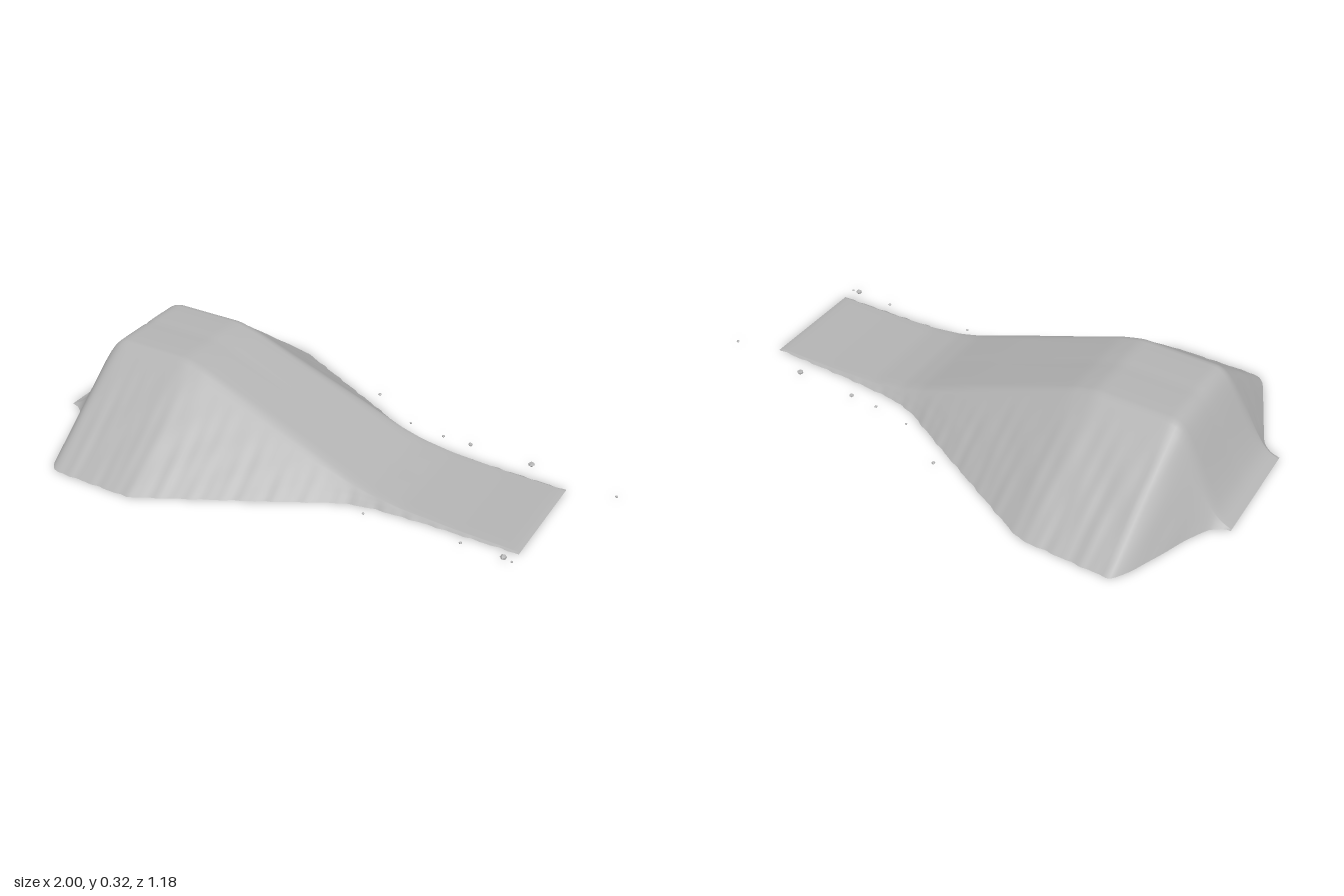
import * as THREE from 'three';

// Height of the crest along x
const HEIGHT = [[-1, 0], [-0.97, 0.012], [-0.94, 0.04], [-0.9, 0.105], [-0.82, 0.258], [-0.79, 0.306],
  [-0.76, 0.325], [-0.48, 0.325], [-0.4, 0.304], [0, 0.145], [0.2, 0.062], [0.28, 0.038], [0.4, 0.019],
  [0.6, 0.008], [0.82, 0.004], [0.83, 0]];
// Half width of the footprint along x
const WIDTH = [[-1, 0.205], [-0.97, 0.212], [-0.94, 0.23], [-0.91, 0.285], [-0.8, 0.55], [-0.77, 0.59],
  [-0.45, 0.588], [-0.4, 0.565], [0, 0.358], [0.2, 0.25], [0.3, 0.225], [0.5, 0.212], [0.83, 0.205]];
// Rounded top of a section: [z, share of the crest height], with a faint groove in the middle
const TOP = [[0, 0.99], [0.02, 1], [0.085, 1], [0.15, 0.998], [0.165, 0.99], [0.18, 0.968], [0.197, 0.925]];
const FLANK = 12;
const STEPS = 150;

function lookup(table, x) {
  for (let i = 1; i < table.length; i++) {
    const [x0, a] = table[i - 1], [x1, b] = table[i];
    if (x <= x1) return a + (b - a) * Math.max(0, (x - x0) / (x1 - x0));
  }
  return table[table.length - 1][1];
}

// Averaging neighbours softens the corners of a table
const smooth = (table, x) =>
  (lookup(table, x - 0.018) + 2 * lookup(table, x) + lookup(table, x + 0.018)) / 4;

const stationX = (i) => -1 + 1.83 * i / STEPS;

function footprint(x, side) {
  const w = smooth(WIDTH, x);
  const wobble = Math.sin(x * 71 + side) + 0.7 * Math.sin(x * 127 + side * 2);
  return w + 0.0018 * wobble;
}

// A point of the section at x; k counts from the middle out to the foot
function sectionPoint(x, k, side) {
  const h = x <= -1 || x >= 0.83 ? 0 : smooth(HEIGHT, x);
  if (k < TOP.length) return [TOP[k][0], h * TOP[k][1]];
  const [z0, share] = TOP[TOP.length - 1];
  const t = (k - TOP.length + 1) / FLANK;
  const bump = Math.sin(x * 63 + t * 5 + side) * Math.sin(x * 29 - t * 9) * Math.sin(Math.PI * t);
  const y = h * share * (1 - t) + 0.007 * h * bump;
  return [z0 + (footprint(x, side) - z0) * t, Math.max(0, y)];
}

// Upper surface: a grid whose vertices follow the sections
function buildSurface() {
  const half = TOP.length - 1 + FLANK;
  const geo = new THREE.PlaneGeometry(1, 1, STEPS, 2 * half).rotateX(-Math.PI / 2);
  const pos = geo.attributes.position;
  for (let j = 0; j <= 2 * half; j++) {
    const side = j < half ? -1 : 1;
    for (let i = 0; i <= STEPS; i++) {
      const x = stationX(i);
      const [z, y] = sectionPoint(x, Math.abs(j - half), side);
      pos.setXYZ(j * (STEPS + 1) + i, x, y, side * z);
    }
  }
  geo.computeVertexNormals();
  return geo;
}

// Flat underside with the same outline
function buildUnderside() {
  const geo = new THREE.PlaneGeometry(1, 1, STEPS, 1).rotateX(Math.PI / 2);
  const pos = geo.attributes.position;
  for (let j = 0; j < 2; j++) {
    const side = j === 0 ? 1 : -1;
    for (let i = 0; i <= STEPS; i++) {
      const x = stationX(i);
      pos.setXYZ(j * (STEPS + 1) + i, x, 0, side * footprint(x, side));
    }
  }
  return geo;
}

export function createModel() {
  const model = new THREE.Group();
  model.name = 'dirtRamp';
  const earth = new THREE.MeshStandardMaterial({ color: 0xb3b3b3 });
  earth.name = 'grey earth';

  const add = (name, geo) => {
    const mesh = new THREE.Mesh(geo, earth);
    mesh.name = name;
    model.add(mesh);
    return mesh;
  };
  add('rampSurface', buildSurface());
  add('underside', buildUnderside());

  // Loose pebbles beside the run: [x, z, radius]
  const pebbles = [[-0.02, -0.435, 0.007], [0.175, -0.315, 0.005], [0.32, -0.293, 0.006], [0.43, -0.29, 0.009],
    [0.67, -0.28, 0.012], [0.994, -0.25, 0.006], [0.295, 0.268, 0.005], [0.645, 0.25, 0.006],
    [0.797, 0.253, 0.012], [0.828, 0.256, 0.005]];
  const stone = new THREE.IcosahedronGeometry(1, 0);
  pebbles.forEach(([x, z, r], i) => {
    const pebble = add('pebble' + (i + 1), stone);
    pebble.position.set(x, r * 0.75, z);
    pebble.scale.set(r, r * 0.75, r);
    pebble.rotation.y = i * 1.3;
  });
  return model;
}
